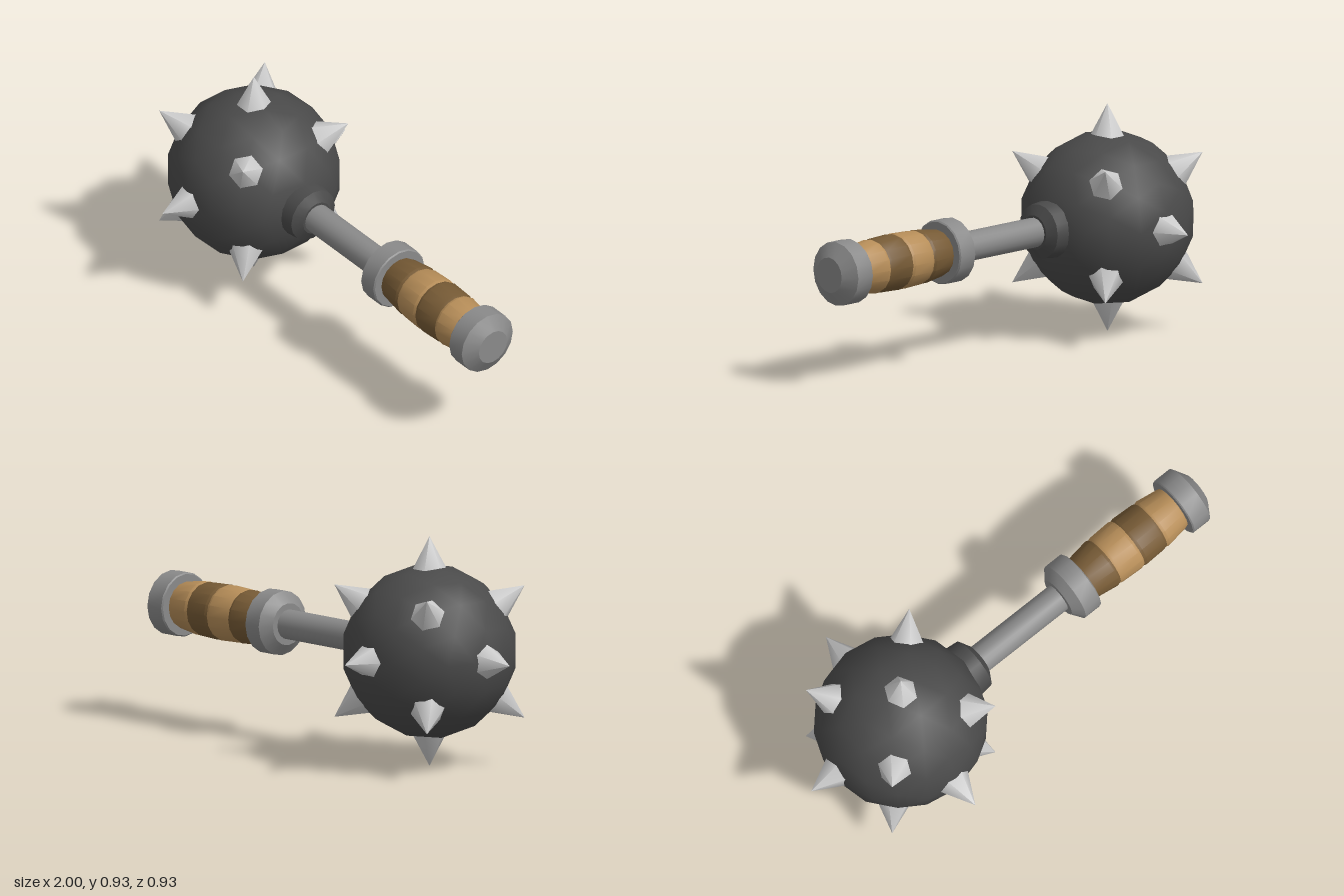
import * as THREE from 'three';
import { toCreasedNormals } from 'three/addons/utils/BufferGeometryUtils.js';

const AXIS_Y = 0.465;
const BALL_X = -0.535;
const REACH = 0.465; // ball centre to spike tip

const mat = (color) => new THREE.MeshStandardMaterial({ color });

export function createModel() {
  const group = new THREE.Group();
  const iron = mat(0x4a4a4a);
  const steel = mat(0x8a8a8a);
  const spikeSteel = mat(0xcccccc);
  const darkLeather = mat(0x765a35);
  const lightLeather = mat(0xb68d58);

  // Turned part along x; profile is [x, radius] pairs from left to right
  const turned = (name, profile, material) => {
    const points = profile.map(([x, r]) => new THREE.Vector2(r, x));
    const geometry = new THREE.LatheGeometry(points, 16).rotateZ(-Math.PI / 2);
    const mesh = new THREE.Mesh(toCreasedNormals(geometry, Math.PI / 6), material);
    mesh.name = name;
    mesh.position.y = AXIS_Y;
    group.add(mesh);
  };

  // Ball head
  const ball = new THREE.Mesh(new THREE.IcosahedronGeometry(0.35, 2), iron);
  ball.name = 'ballHead';
  ball.position.set(BALL_X, AXIS_Y, 0);
  group.add(ball);

  // Spikes: every axis except the handle side, plus the eight cube corners
  const directions = [[0, 1, 0], [0, -1, 0], [0, 0, 1], [0, 0, -1], [-1, 0, 0]];
  for (const x of [-1, 1]) for (const y of [-1, 1]) for (const z of [-1, 1]) directions.push([x, y, z]);

  const height = 0.145;
  const cone = new THREE.ConeGeometry(0.077, height, 6)
    .rotateY(Math.PI / 2)
    .translate(0, REACH - height / 2, 0);
  const spikeGeometry = toCreasedNormals(cone, Math.PI / 3.2);
  const up = new THREE.Vector3(0, 1, 0);
  const spikes = new THREE.Group();
  spikes.name = 'spikes';
  spikes.position.copy(ball.position);
  for (const d of directions) {
    const spike = new THREE.Mesh(spikeGeometry, spikeSteel);
    spike.name = 'spike';
    spike.quaternion.setFromUnitVectors(up, new THREE.Vector3(...d).normalize());
    spikes.add(spike);
  }
  group.add(spikes);

  // Collar, shaft, guard and pommel
  turned('collar', [[-0.28, 0], [-0.28, 0.12], [-0.22, 0.118], [-0.155, 0.111], [-0.13, 0.07], [-0.13, 0]], iron);
  turned('shaft', [[-0.2, 0], [-0.2, 0.06], [0.34, 0.06], [0.34, 0]], steel);
  turned('guard', [[0.283, 0], [0.283, 0.085], [0.318, 0.13], [0.395, 0.13], [0.4, 0.125], [0.4, 0]], steel);
  turned('pommel', [[0.878, 0], [0.878, 0.125], [0.883, 0.13], [0.963, 0.13], [1, 0.072], [1, 0]], steel);

  // Grip bands, swelling towards the middle of the handle
  const radii = [0.095, 0.109, 0.113, 0.109, 0.095];
  for (let i = 0; i < 4; i++) {
    const x0 = 0.4 + i * 0.12;
    const x1 = x0 + 0.12;
    const [a, b] = [radii[i], radii[i + 1]];
    turned('gripBand', [
      [x0, 0], [x0, a - 0.003], [x0 + 0.012, a + 0.001],
      [x1 - 0.012, b + 0.001], [x1, b - 0.003], [x1, 0],
    ], i % 2 ? lightLeather : darkLeather);
  }
  return group;
}
